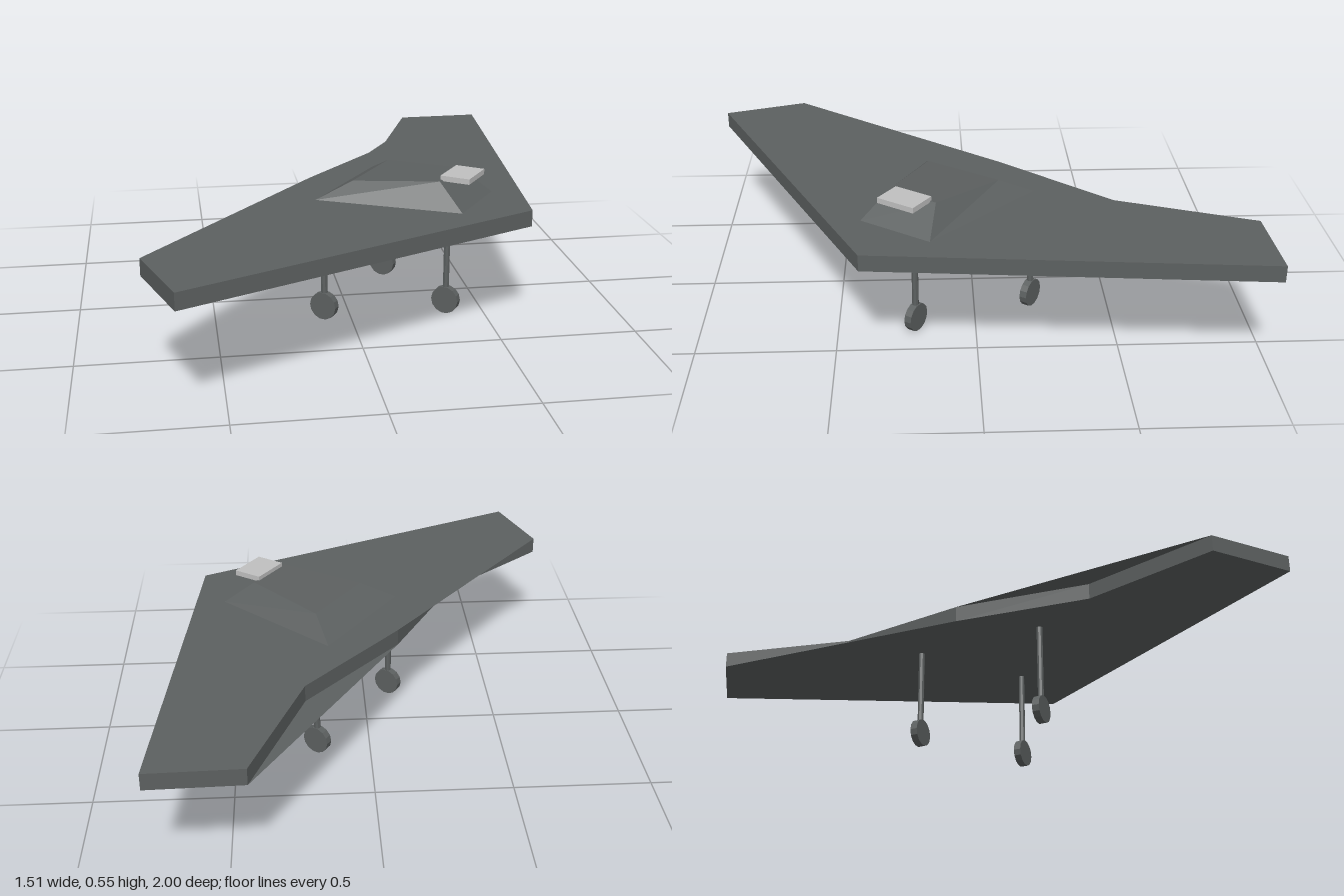
import * as THREE from 'three';

const bodyGrey = new THREE.MeshStandardMaterial({ color: 0x5c6060, flatShading: true, side: THREE.DoubleSide });
bodyGrey.name = 'bodyGrey';
const paleGrey = new THREE.MeshStandardMaterial({ color: 0xc0c0c0, flatShading: true });
paleGrey.name = 'paleGrey';

function part(name, geometry, material, x = 0, y = 0, z = 0) {
  const mesh = new THREE.Mesh(geometry, material);
  mesh.name = name;
  mesh.position.set(x, y, z);
  return mesh;
}

// Quads between two matching rings of [x, y, z] points
function skin(lower, upper) {
  const pos = [];
  lower.forEach((a, i) => {
    const j = (i + 1) % lower.length;
    const b = lower[j], c = upper[j], d = upper[i];
    pos.push(...a, ...b, ...c, ...a, ...c, ...d);
  });
  const g = new THREE.BufferGeometry();
  g.setAttribute('position', new THREE.Float32BufferAttribute(pos, 3));
  g.computeVertexNormals();
  return g;
}

// Flat plate from [x, z] points, facing up or down
function plate(points, y, up) {
  const k = up ? -1 : 1;
  const shape = new THREE.Shape(points.map(([x, z]) => new THREE.Vector2(x, k * z)));
  return new THREE.ShapeGeometry(shape).rotateX(k * Math.PI / 2).translate(0, y, 0);
}

const ring = (points, y) => points.map(([x, z]) => [x, y, z]);

export function createModel() {
  const model = new THREE.Group();
  model.name = 'flyingWing';
  const craft = new THREE.Group();
  craft.name = 'aircraft';
  craft.rotation.y = 0.958;
  craft.position.x = 0.05;
  model.add(craft);

  // Wing: swept planform with a W-shaped trailing edge
  const nose = [0, 0.70], tipL = [1.22, 0], tipR = [-1.22, 0];
  const rearL = [1.025, -0.262], rearR = [-1.025, -0.262];
  const notchL = [0.518, -0.132], notchR = [-0.518, -0.132], tail = [0, -0.194];
  const low = 0.39, high = 0.45;
  const outline = [nose, tipL, rearL, notchL, tail, notchR, rearR, tipR];
  const wing = new THREE.Group();
  wing.name = 'wing';
  wing.add(
    part('wingEdges', skin(ring(outline, low), ring(outline, high)), bodyGrey),
    // One notch is closed on top, the other underneath
    part('wingTop', plate(outline.filter((p) => p !== notchR), high, true), bodyGrey),
    part('wingBottom', plate(outline.filter((p) => p !== notchL), low, false), bodyGrey),
  );
  craft.add(wing);

  // Raised hump, sloping up toward the front
  const base = [[-0.147, 0.492], [0.147, 0.492], [0.239, -0.044], [-0.239, -0.044]];
  const crown = [[-0.0985, 0.54, 0.383], [0.0985, 0.54, 0.383], [0.154, 0.515, 0.065], [-0.154, 0.515, 0.065]];
  const roof = new THREE.BufferGeometry();
  roof.setAttribute('position', new THREE.Float32BufferAttribute([0, 1, 2, 0, 2, 3].flatMap((i) => crown[i]), 3));
  roof.computeVertexNormals();
  const hump = new THREE.Group();
  hump.name = 'hump';
  hump.add(part('humpSides', skin(ring(base, high), crown), bodyGrey), part('humpRoof', roof, bodyGrey));
  craft.add(hump);

  // Pale sensor slab over the front of the hump
  craft.add(part('sensorSlab', new THREE.BoxGeometry(0.15, 0.02, 0.11), paleGrey, 0, 0.545, 0.431));

  // Landing gear: one nose leg and two main legs
  const strut = new THREE.CylinderGeometry(0.012, 0.012, 0.31, 8);
  const wheel = new THREE.CylinderGeometry(0.0525, 0.0525, 0.028, 14).rotateZ(Math.PI / 2);
  for (const [name, x, z] of [['noseGear', 0, 0.379], ['leftGear', 0.257, 0], ['rightGear', -0.257, 0]]) {
    const gear = new THREE.Group();
    gear.name = name;
    gear.position.set(x, 0, z);
    gear.add(part('strut', strut, bodyGrey, 0, 0.24, 0), part('wheel', wheel, bodyGrey, 0, 0.0525, 0));
    craft.add(gear);
  }
  return model;
}
